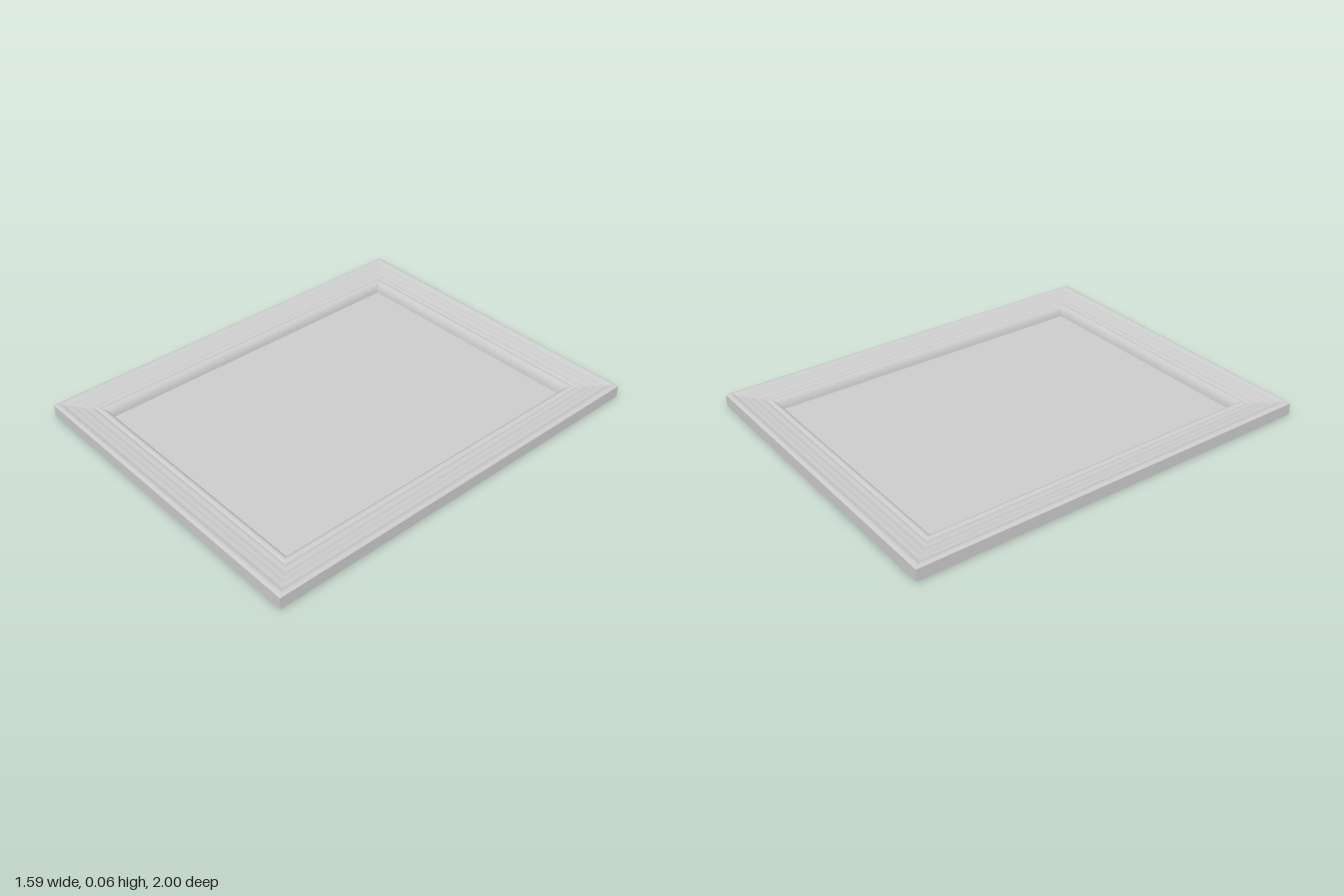
import * as THREE from 'three';

const HALF_W = 0.795, HALF_L = 1;
const material = new THREE.MeshStandardMaterial({ color: 0xcccccc, side: THREE.DoubleSide });

// One mitred side: a profile of [inset, height] points swept between two corners.
function mitredSide(profile, c0, c1) {
  const pos = [], index = [];
  profile.forEach(([d, y], i) => {
    for (const [sx, sz] of [c0, c1]) pos.push(sx * (HALF_W - d), y, sz * (HALF_L - d));
    if (i) {
      const a = 2 * i - 2;
      index.push(a, a + 1, a + 3, a, a + 3, a + 2);
    }
  });
  const g = new THREE.BufferGeometry();
  g.setAttribute('position', new THREE.Float32BufferAttribute(pos, 3));
  g.setIndex(index);
  g.computeVertexNormals();
  return g;
}

// Four sides, each with its own normals so the mitres stay crisp.
function frameLoop(name, profile) {
  const group = new THREE.Group();
  group.name = name;
  const corners = [[-1, 1], [1, 1], [1, -1], [-1, -1]];
  ['front', 'left', 'back', 'right'].forEach((side, i) => {
    const mesh = new THREE.Mesh(mitredSide(profile, corners[i], corners[(i + 1) % 4]), material);
    mesh.name = side + name[0].toUpperCase() + name.slice(1);
    group.add(mesh);
  });
  return group;
}

export function createModel() {
  const model = new THREE.Group();
  model.name = 'pictureFrame';

  // Straight outer wall, open underneath
  model.add(frameLoop('outerWall', [[0, 0], [0, 0.057]]));

  // Stepped moulding that falls towards the picture
  const steps = [
    [0, 0.057], [0.006, 0.063], [0.014, 0.065], [0.026, 0.063],
    [0.035, 0.057], [0.045, 0.056], [0.06, 0.056], [0.07, 0.052],
    [0.08, 0.052], [0.092, 0.051], [0.102, 0.046], [0.112, 0.047],
    [0.126, 0.047], [0.136, 0.042],
  ];
  model.add(frameLoop('moulding', steps));

  // Rounded inner bead dropping to the panel
  const bead = new THREE.SplineCurve([
    [0.136, 0.042], [0.146, 0.047], [0.158, 0.046], [0.171, 0.036],
    [0.18, 0.02], [0.185, 0.001],
  ].map(p => new THREE.Vector2(...p)));
  model.add(frameLoop('innerBead', bead.getPoints(20).map(p => [p.x, p.y])));

  // Flat picture panel
  const panel = new THREE.Mesh(
    new THREE.PlaneGeometry(2 * (HALF_W - 0.185), 2 * (HALF_L - 0.185)).rotateX(-Math.PI / 2), material);
  panel.position.y = 0.001;
  panel.name = 'picturePanel';
  model.add(panel);

  return model;
}
